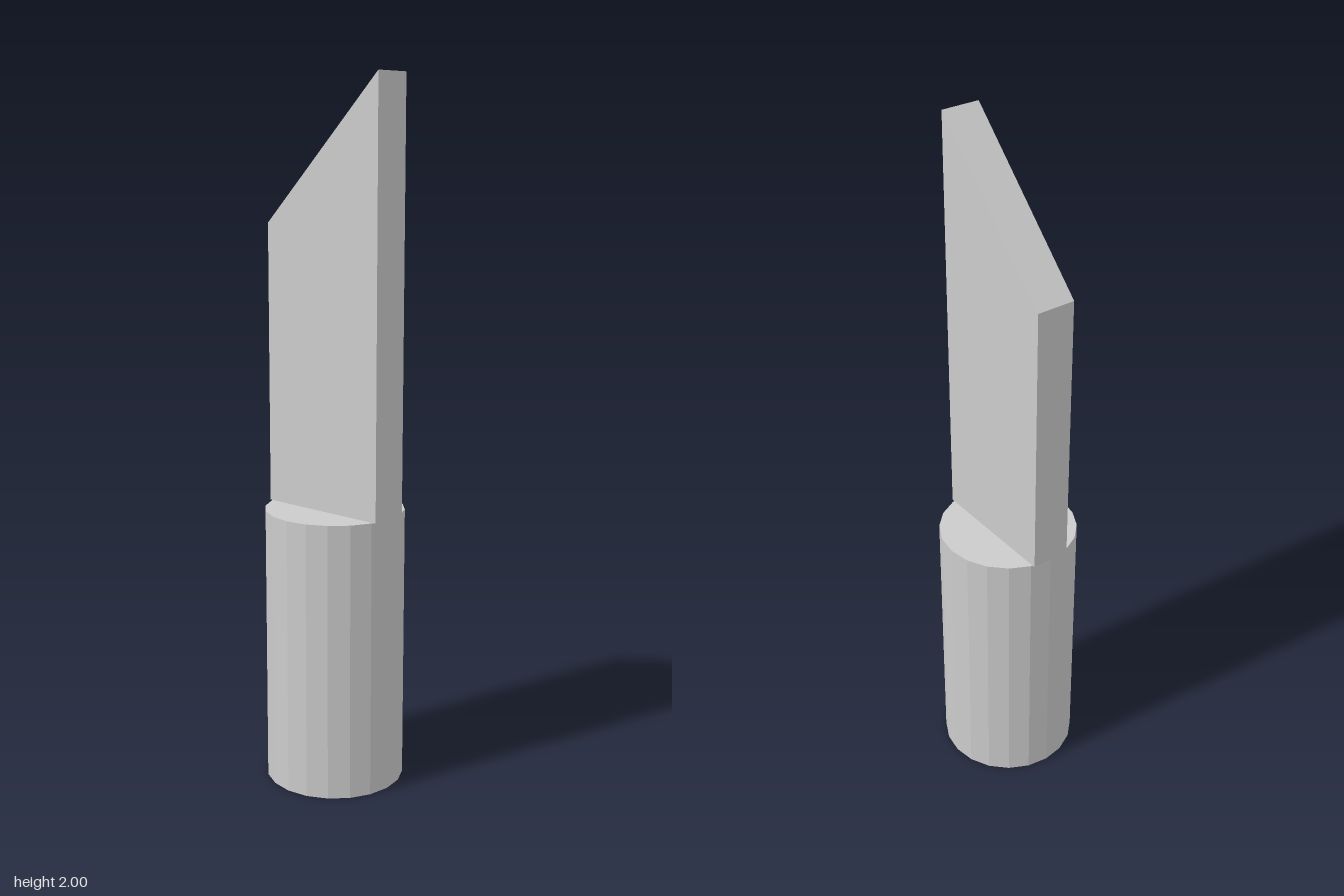
import * as THREE from 'three';

export function createModel() {
  const model = new THREE.Group();
  const material = new THREE.MeshStandardMaterial({ color: 0xcccccc, flatShading: true });
  const radius = 0.2, handleHeight = 0.8, thickness = 0.114;

  // Faceted round handle
  const handle = new THREE.Mesh(
    new THREE.CylinderGeometry(radius, radius, handleHeight, 20), material);
  handle.name = 'handle';
  handle.position.y = handleHeight / 2;
  model.add(handle);

  // Flat blade with a slanted tip, as wide as the handle
  const profile = new THREE.Shape([
    new THREE.Vector2(-radius, handleHeight),
    new THREE.Vector2(radius, handleHeight),
    new THREE.Vector2(radius, 2),
    new THREE.Vector2(-radius, 1.6),
  ]);
  const blade = new THREE.Mesh(
    new THREE.ExtrudeGeometry(profile, { depth: thickness, bevelEnabled: false }), material);
  blade.name = 'blade';
  blade.position.z = -thickness / 2;
  model.add(blade);

  return model;
}
